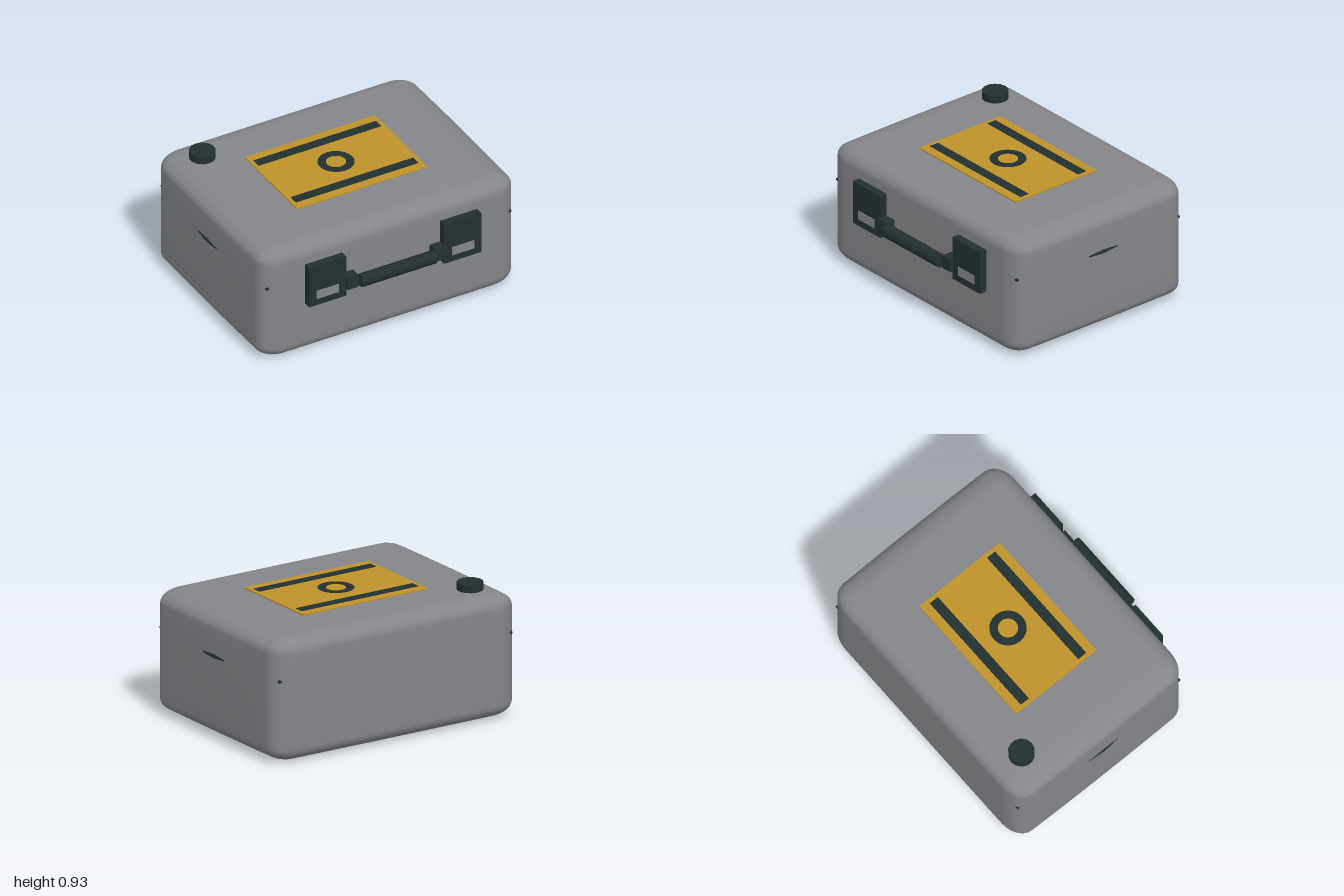
import * as THREE from 'three';
import { mergeVertices } from 'three/addons/utils/BufferGeometryUtils.js';

const ZC = -0.06; // middle of the case in z

// Rounded box with elliptical corners and gently bulging faces
function caseGeometry(h, r, bulge) {
  const geo = new THREE.BoxGeometry(2, 2, 2, 16, 16, 16);
  geo.deleteAttribute('uv');
  geo.deleteAttribute('normal');
  const pos = geo.attributes.position;
  const core = new THREE.Vector3(), dir = new THREE.Vector3(), p = new THREE.Vector3();
  for (let i = 0; i < pos.count; i++) {
    p.fromBufferAttribute(pos, i);
    core.copy(p).clampScalar(-0.5, 0.5);
    dir.copy(p).sub(core).normalize().multiply(r);
    p.copy(h).sub(r).multiply(core.multiplyScalar(2)).add(dir);
    const u = p.x / h.x, v = p.y / h.y, w = p.z / h.z;
    p.x += bulge.x * u * (1 - w * w) * (1 - 0.5 * v * v);
    p.y += bulge.y * v * (1 - w * w) * (1 - u * u);
    pos.setXYZ(i, p.x, p.y, p.z);
  }
  const merged = mergeVertices(geo, 1e-4);
  merged.computeVertexNormals();
  return merged;
}

export function createModel() {
  const model = new THREE.Group();
  const shell = new THREE.MeshStandardMaterial({ color: 0x85868a });
  const dark = new THREE.MeshStandardMaterial({ color: 0x223030 });
  const gold = new THREE.MeshStandardMaterial({ color: 0xbf9129 });
  shell.name = 'grey shell';
  dark.name = 'dark trim';
  gold.name = 'gold plate';

  const add = (name, geo, mat, x, y, z) => {
    const mesh = new THREE.Mesh(geo, mat);
    mesh.name = name;
    mesh.position.set(x, y, z);
    model.add(mesh);
    return mesh;
  };
  const box = (name, mat, w, h, d, x, y, z) =>
    add(name, new THREE.BoxGeometry(w, h, d), mat, x, y, z);

  // Case body
  add('caseBody', caseGeometry(
    new THREE.Vector3(0.977, 0.43, 0.74),
    new THREE.Vector3(0.17, 0.095, 0.125),
    new THREE.Vector3(0.012, 0.009, 0)), shell, 0, 0.44, ZC);

  // Seam band inside the shell, showing only at the corners and mid sides
  const outline = new THREE.Shape([
    [0.94, 0.71], [-0.94, 0.71], [-0.998, 0], [-0.94, -0.71], [0.94, -0.71], [0.998, 0],
  ].map(([x, y]) => new THREE.Vector2(x, y)));
  const bandGeo = new THREE.ExtrudeGeometry(outline, {
    depth: 0.01, bevelEnabled: true, bevelSegments: 1,
    bevelThickness: 0.012, bevelSize: 0.012, bevelOffset: -0.012,
  });
  bandGeo.translate(0, 0, -0.005).rotateX(-Math.PI / 2);
  add('seamBand', bandGeo, dark, 0, 0.59, ZC);

  // Top plate with two stripes and a ring
  box('topPlate', gold, 1, 0.009, 0.7, 0, 0.8805, ZC);
  for (const side of [-1, 1]) {
    box('plateStripe', dark, 0.94, 0.004, 0.07, 0, 0.886, ZC + side * 0.25);
  }
  const ring = add('plateRing', new THREE.RingGeometry(0.068, 0.125, 20), dark, 0, 0.888, ZC);
  ring.rotation.x = -Math.PI / 2;

  // Valve knob on the lid
  add('valveKnob', new THREE.CylinderGeometry(0.09, 0.09, 0.055, 14), dark, -0.737, 0.9035, -0.565);

  // Latches with windows, and the handle brackets
  for (const side of [-1, 1]) {
    box('latch', dark, 0.285, 0.315, 0.075, side * 0.518, 0.563, 0.698);
    box('latchWindow', shell, 0.17, 0.065, 0.006, side * 0.52, 0.488, 0.736);
    box('handleBracket', dark, 0.085, 0.095, 0.095, side * 0.336, 0.508, 0.708);
  }

  // Carrying handle
  const handle = add('handle', new THREE.CylinderGeometry(0.047, 0.047, 0.57, 8), dark, 0, 0.508, 0.758);
  handle.rotation.z = Math.PI / 2;

  return model;
}
